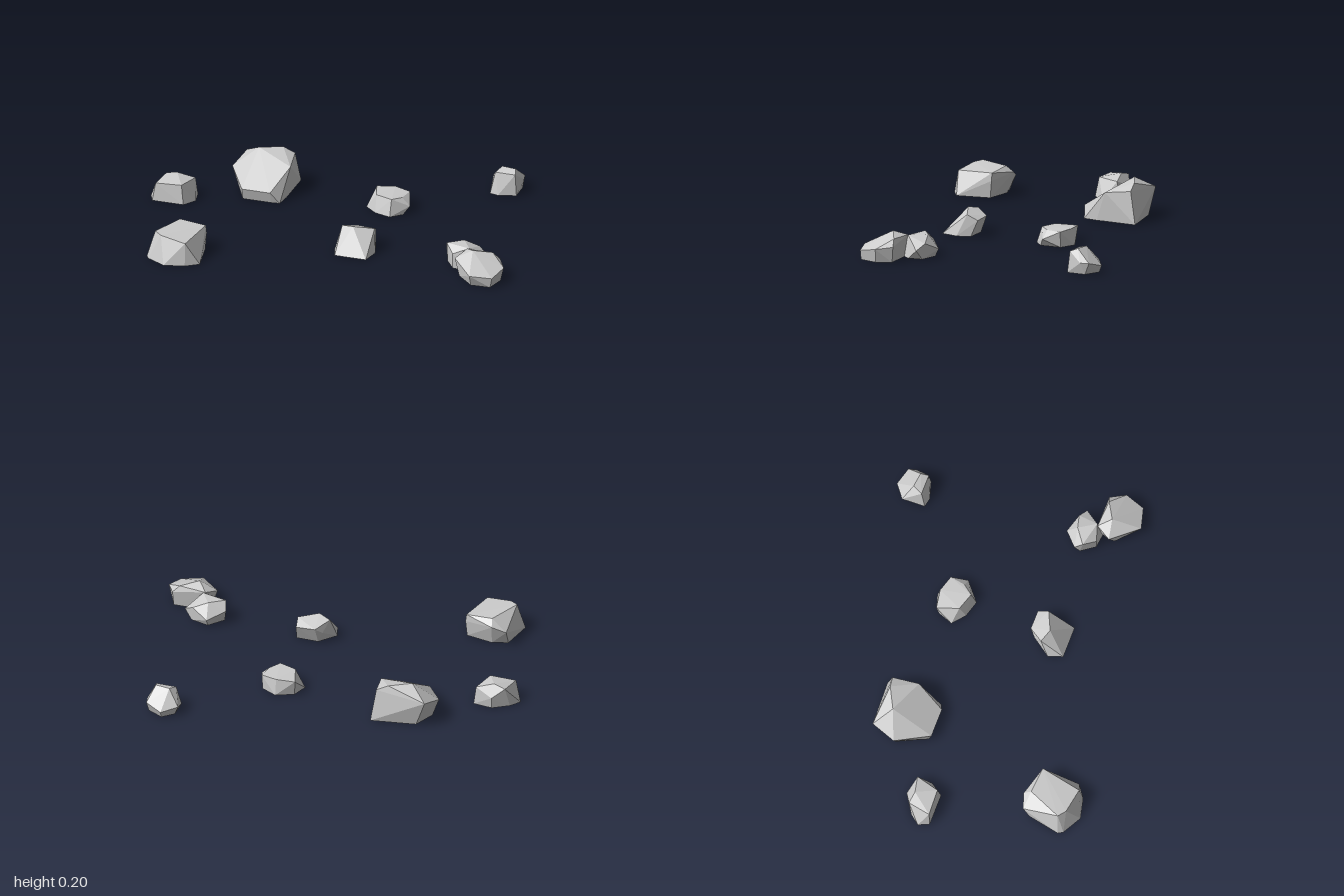
import * as THREE from 'three';
import { ConvexGeometry } from 'three/addons/geometries/ConvexGeometry.js';

// Each rock: a ground outline [x, z] and the raised corners [x, y, z]
const rocks = {
  leftPebble: {
    base: [[-1, -0.01], [-0.975, 0.045], [-0.81, 0.045], [-0.765, -0.02], [-0.78, -0.1], [-0.88, -0.11], [-0.96, -0.06]],
    top: [[-0.96, 0.095, 0.035], [-0.825, 0.1, 0.03], [-0.88, 0.12, -0.07], [-0.79, 0.095, -0.09], [-0.94, 0.105, -0.08], [-0.88, 0.06, -0.115]],
  },
  largeBoulder: {
    base: [[-0.34, -0.42], [-0.345, -0.2], [-0.355, -0.125], [-0.4, -0.12], [-0.55, -0.12], [-0.62, -0.27], [-0.57, -0.38]],
    top: [[-0.53, 0.2, -0.32], [-0.42, 0.195, -0.375], [-0.36, 0.165, -0.385], [-0.34, 0.15, -0.25], [-0.62, 0.14, -0.395], [-0.655, 0.1, -0.27], [-0.55, 0.06, -0.105], [-0.4, 0.06, -0.105]],
  },
  frontBoulder: {
    base: [[-0.795, 0.665], [-0.78, 0.69], [-0.68, 0.745], [-0.575, 0.72], [-0.51, 0.675], [-0.54, 0.5], [-0.68, 0.475], [-0.76, 0.5]],
    top: [[-0.76, 0.08, 0.465], [-0.69, 0.11, 0.443], [-0.68, 0.14, 0.48], [-0.54, 0.13, 0.49], [-0.535, 0.09, 0.49], [-0.58, 0.115, 0.7], [-0.715, 0.133, 0.68], [-0.755, 0.138, 0.65]],
  },
  middleBackRock: {
    base: [[0.07, -0.23], [0.135, -0.175], [0.22, -0.15], [0.275, -0.2], [0.27, -0.31], [0.19, -0.35], [0.1, -0.31]],
    top: [[0.095, 0.08, -0.32], [0.19, 0.085, -0.335], [0.275, 0.08, -0.31], [0.26, 0.08, -0.23], [0.22, 0.085, -0.18], [0.13, 0.085, -0.21], [0.303, 0.04, -0.225]],
  },
  middleFrontRock: {
    base: [[0.075, 0.285], [0.1, 0.36], [0.265, 0.36], [0.285, 0.27], [0.265, 0.2], [0.15, 0.2]],
    top: [[0.1, 0.115, 0.24], [0.165, 0.128, 0.265], [0.125, 0.06, 0.195], [0.155, 0.09, 0.165], [0.255, 0.085, 0.165], [0.265, 0.112, 0.22]],
  },
  rightPebble: {
    base: [[0.66, 0.24], [0.71, 0.31], [0.79, 0.32], [0.83, 0.265], [0.82, 0.19], [0.725, 0.165]],
    top: [[0.645, 0.07, 0.215], [0.66, 0.11, 0.255], [0.735, 0.112, 0.2], [0.79, 0.11, 0.285], [0.81, 0.08, 0.18], [0.725, 0.04, 0.145], [0.86, 0.05, 0.205], [0.71, 0.08, 0.31]],
  },
  rightRock: {
    base: [[0.79, 0.3], [0.95, 0.295], [0.985, 0.37], [0.96, 0.465], [0.86, 0.47], [0.77, 0.385]],
    top: [[0.74, 0.085, 0.365], [0.78, 0.11, 0.29], [0.83, 0.135, 0.35], [0.92, 0.115, 0.3], [0.955, 0.08, 0.288], [1, 0.07, 0.365], [0.97, 0.05, 0.465], [0.86, 0.06, 0.495]],
  },
  backPebble: {
    base: [[0.61, -0.575], [0.655, -0.565], [0.745, -0.59], [0.745, -0.69], [0.665, -0.73], [0.61, -0.68]],
    top: [[0.63, 0.11, -0.6], [0.735, 0.11, -0.6], [0.65, 0.125, -0.65], [0.725, 0.125, -0.64], [0.59, 0.05, -0.69], [0.665, 0.035, -0.745], [0.75, 0.06, -0.715], [0.76, 0.06, -0.67]],
  },
};

export function createModel() {
  const group = new THREE.Group();
  group.name = 'scatteredRocks';
  const stone = new THREE.MeshStandardMaterial({ color: 0xcccccc });
  stone.name = 'light grey stone';

  // Wrap every set of corners in a faceted convex hull
  for (const [name, { base, top }] of Object.entries(rocks)) {
    const points = [
      ...base.map(([x, z]) => new THREE.Vector3(x, 0, z)),
      ...top.map((p) => new THREE.Vector3(...p)),
    ];
    const mesh = new THREE.Mesh(new ConvexGeometry(points), stone);
    mesh.name = name;
    group.add(mesh);
  }
  return group;
}
